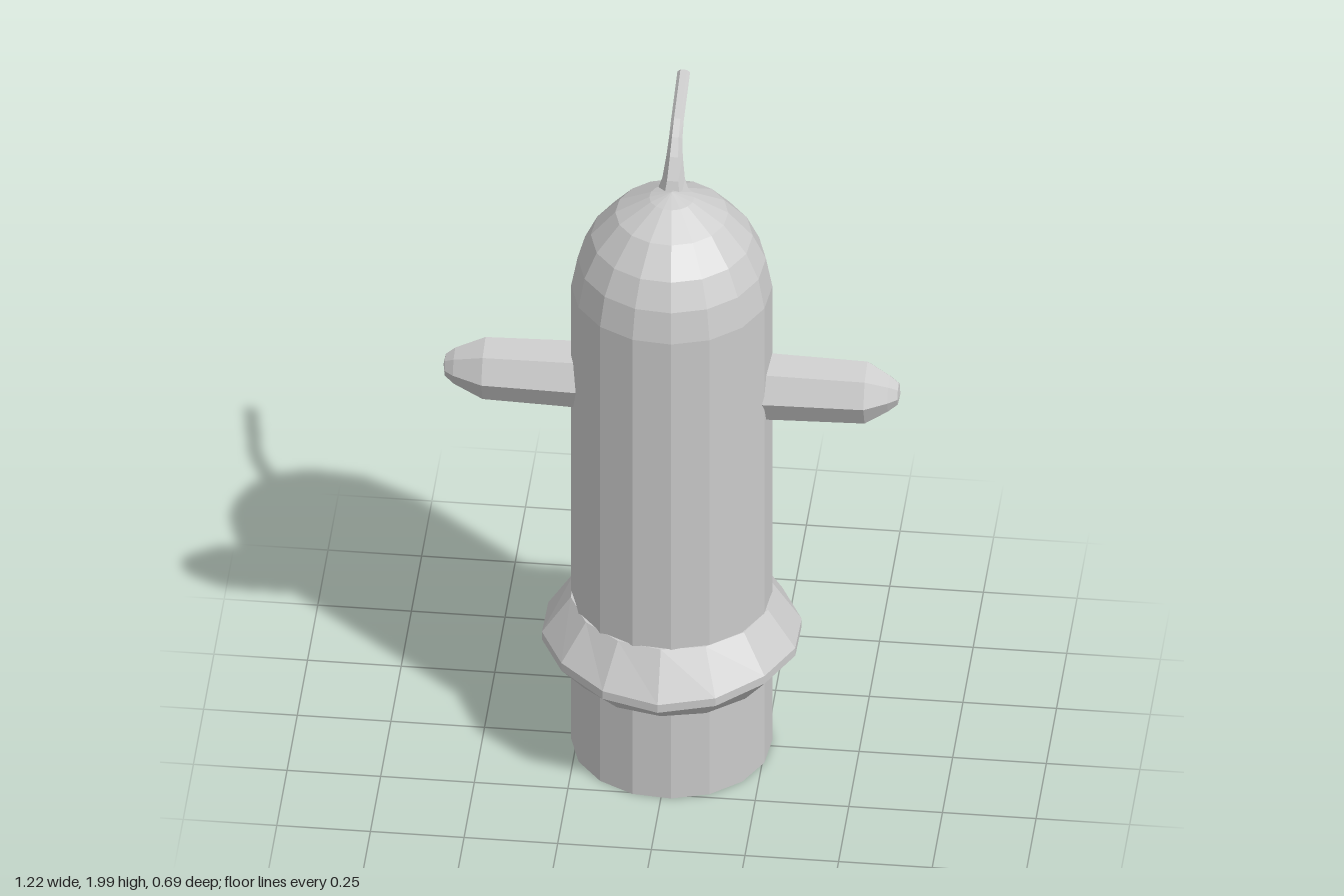
import * as THREE from 'three';

const grey = new THREE.MeshStandardMaterial({ color: 0xcccccc, flatShading: true });

function part(name, geometry) {
  const mesh = new THREE.Mesh(geometry, grey);
  mesh.name = name;
  return mesh;
}

function lathe(points, sides, phase = 0) {
  return new THREE.LatheGeometry(points.map(([r, y]) => new THREE.Vector2(r, y)), sides, phase);
}

// Tapered hexagonal tube along a path in the yz plane; each ring is [y, z, halfWidth, halfDepth]
function taperedStem(rings, sides = 6) {
  const pos = [], index = [];
  rings.forEach(([y, z, w, d], i) => {
    const a = rings[Math.max(i - 1, 0)], b = rings[Math.min(i + 1, rings.length - 1)];
    const t = i === 0 ? new THREE.Vector2(1, 0) : new THREE.Vector2(b[0] - a[0], b[1] - a[1]).normalize();
    for (let j = 0; j < sides; j++) {
      const angle = (j / sides) * Math.PI * 2;
      const n = Math.sin(angle) * d;
      pos.push(Math.cos(angle) * w, y + t.y * n, z - t.x * n);
    }
  });
  for (let i = 0; i < rings.length - 1; i++) {
    for (let j = 0; j < sides; j++) {
      const k = (j + 1) % sides, p = i * sides, q = p + sides;
      index.push(p + j, p + k, q + k, p + j, q + k, q + j);
    }
  }
  // End cap
  const last = (rings.length - 1) * sides;
  for (let j = 1; j < sides - 1; j++) index.push(last, last + j, last + j + 1);
  const geometry = new THREE.BufferGeometry();
  geometry.setAttribute('position', new THREE.Float32BufferAttribute(pos, 3));
  geometry.setIndex(index);
  geometry.computeVertexNormals();
  return geometry;
}

export function createModel() {
  const group = new THREE.Group();

  // Post with a closed foot and rounded dome
  group.add(part('body', lathe([
    [0, 0.01], [0.267, 0.01], [0.267, 0.5], [0.267, 1.5], [0.25, 1.59],
    [0.215, 1.665], [0.15, 1.74], [0.06, 1.79], [0, 1.807],
  ], 16, 0.1)));

  // Flared collar, its rim slightly uneven
  const collar = lathe([
    [0.25, 0.275], [0.275, 0.285], [0.347, 0.36], [0.347, 0.385], [0.27, 0.5], [0.25, 0.5],
  ], 14);
  const p = collar.attributes.position;
  for (let i = 0; i < p.count; i++) {
    const x = p.getX(i), z = p.getZ(i);
    if (Math.hypot(x, z) > 0.3) p.setY(i, p.getY(i) + 0.012 * Math.sin(3 * Math.atan2(z, x)));
  }
  collar.computeVertexNormals();
  group.add(part('collar', collar));

  // Side arms with blunt tapered ends
  for (const side of [1, -1]) {
    const reach = side > 0 ? 0.52 : 0.5;
    const arm = part(side > 0 ? 'leftArm' : 'rightArm', lathe([
      [0.094, 0.2], [0.091, 0.3], [0.086, reach], [0.05, 0.58], [0.03, 0.605], [0, 0.61],
    ], 7));
    arm.rotation.z = -side * Math.PI / 2;
    arm.position.set(0, 1.19, -0.005);
    group.add(arm);
  }

  // Bent stem on top, sweeping backwards
  group.add(part('stem', taperedStem([
    [1.775, -0.038, 0.045, 0.044],
    [1.82, -0.046, 0.03, 0.032],
    [1.875, -0.068, 0.022, 0.021],
    [1.915, -0.095, 0.018, 0.016],
    [1.943, -0.135, 0.017, 0.012],
    [1.99, -0.292, 0.017, 0.011],
  ])));

  return group;
}
